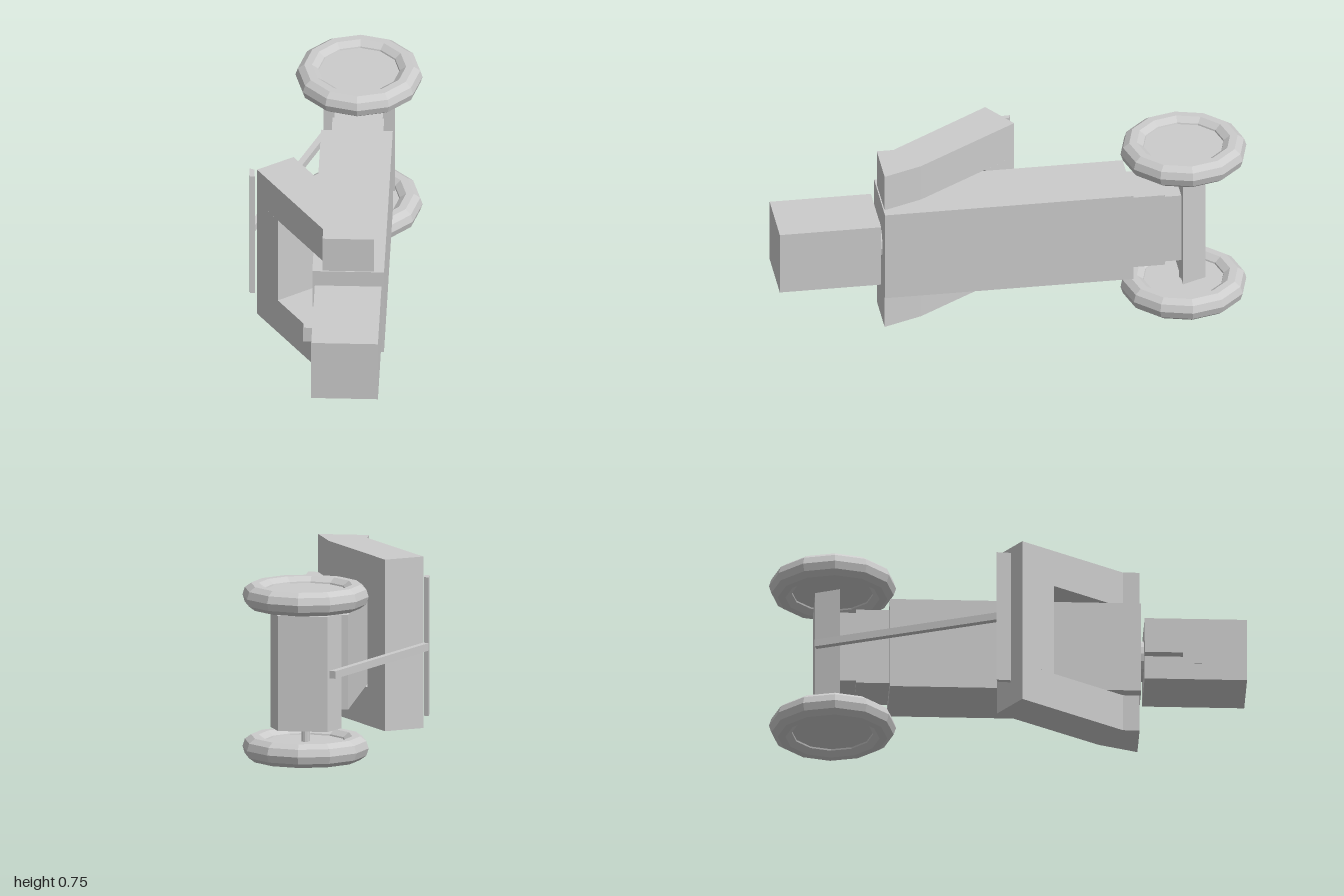
import * as THREE from 'three';

const grey = new THREE.MeshStandardMaterial({ color: 0xcccccc, flatShading: true });

export function createModel() {
  const model = new THREE.Group();

  function add(name, geometry) {
    const mesh = new THREE.Mesh(geometry, grey);
    mesh.name = name;
    model.add(mesh);
    return mesh;
  }

  // Box given by its limits on each axis
  function box(name, x0, x1, y0, y1, z0, z1) {
    const mesh = add(name, new THREE.BoxGeometry(x1 - x0, y1 - y0, z1 - z0));
    mesh.position.set((x0 + x1) / 2, (y0 + y1) / 2, (z0 + z1) / 2);
    return mesh;
  }

  // Upright prism over an outline of [x, z] points
  function prism(name, points, y0, y1) {
    const shape = new THREE.Shape(points.map(([x, z]) => new THREE.Vector2(x, -z)));
    const geometry = new THREE.ExtrudeGeometry(shape, { depth: y1 - y0, bevelEnabled: false });
    geometry.rotateX(-Math.PI / 2);
    const mesh = add(name, geometry);
    mesh.position.y = y0;
    return mesh;
  }

  // Main body and the stepped neck behind it
  box('body', -0.068, 0.233, 0.177, 0.58, -0.5, 0.555);
  box('rearNeck', -0.025, 0.192, 0.21, 0.548, -0.64, -0.5);
  box('rearNeckStep', -0.018, 0.185, 0.222, 0.536, -0.715, -0.64);

  // Head on a short round joint, with side details
  box('head', -0.057, 0.223, 0.239, 0.518, 0.57, 1);
  const joint = add('headJoint', new THREE.CylinderGeometry(0.085, 0.085, 0.03, 16));
  joint.rotation.x = Math.PI / 2;
  joint.position.set(0.083, 0.38, 0.56);
  box('sideGrip', -0.1, -0.057, 0.342, 0.411, 0.57, 0.73);
  box('sidePlate', -0.06, -0.057, 0.31, 0.45, 0.78, 0.835);

  // Bent U-shaped frame: two arms joined by a bar at the outer end
  const arm = [[-0.318, 0.045], [-0.168, -0.055], [0.125, 0.385], [0.19, 0.55], [-0.025, 0.55], [-0.025, 0.48]];
  prism('lowerArm', arm, 0.012, 0.174);
  prism('upperArm', arm, 0.58, 0.742);
  prism('armCrossBar', [[-0.318, 0.045], [-0.168, -0.055], [-0.077, 0.081], [-0.226, 0.182]], 0.174, 0.58);

  // Axle housing with a tapered rear
  prism('axleHousing', [[-0.065, -0.71], [0.235, -0.71], [0.19, -0.812], [-0.02, -0.812]], 0.133, 0.623);

  // Axle and wheels
  const axle = add('axle', new THREE.CylinderGeometry(0.018, 0.018, 0.664, 10));
  axle.position.set(0.083, 0.377, -0.735);
  for (const [side, y] of [['lower', 0.054], ['upper', 0.699]]) {
    const tyreGeometry = new THREE.TorusGeometry(0.214, 0.053, 10, 12).rotateX(Math.PI / 2);
    const tyre = add(side + 'Tyre', tyreGeometry);
    tyre.position.set(0.083, y, -0.735);
    const disc = add(side + 'WheelDisc', new THREE.CylinderGeometry(0.185, 0.185, 0.05, 12));
    disc.position.copy(tyre.position);
  }

  // Handle bar on a slanted rod
  prism('handleRod', [[-0.354, -0.066], [-0.329, -0.056], [-0.028, -0.806], [-0.053, -0.816]], 0.361, 0.393);
  prism('handleBar', [[-0.354, -0.066], [-0.333, -0.058], [-0.329, -0.005], [-0.35, -0.005]], 0.082, 0.672);

  return model;
}
